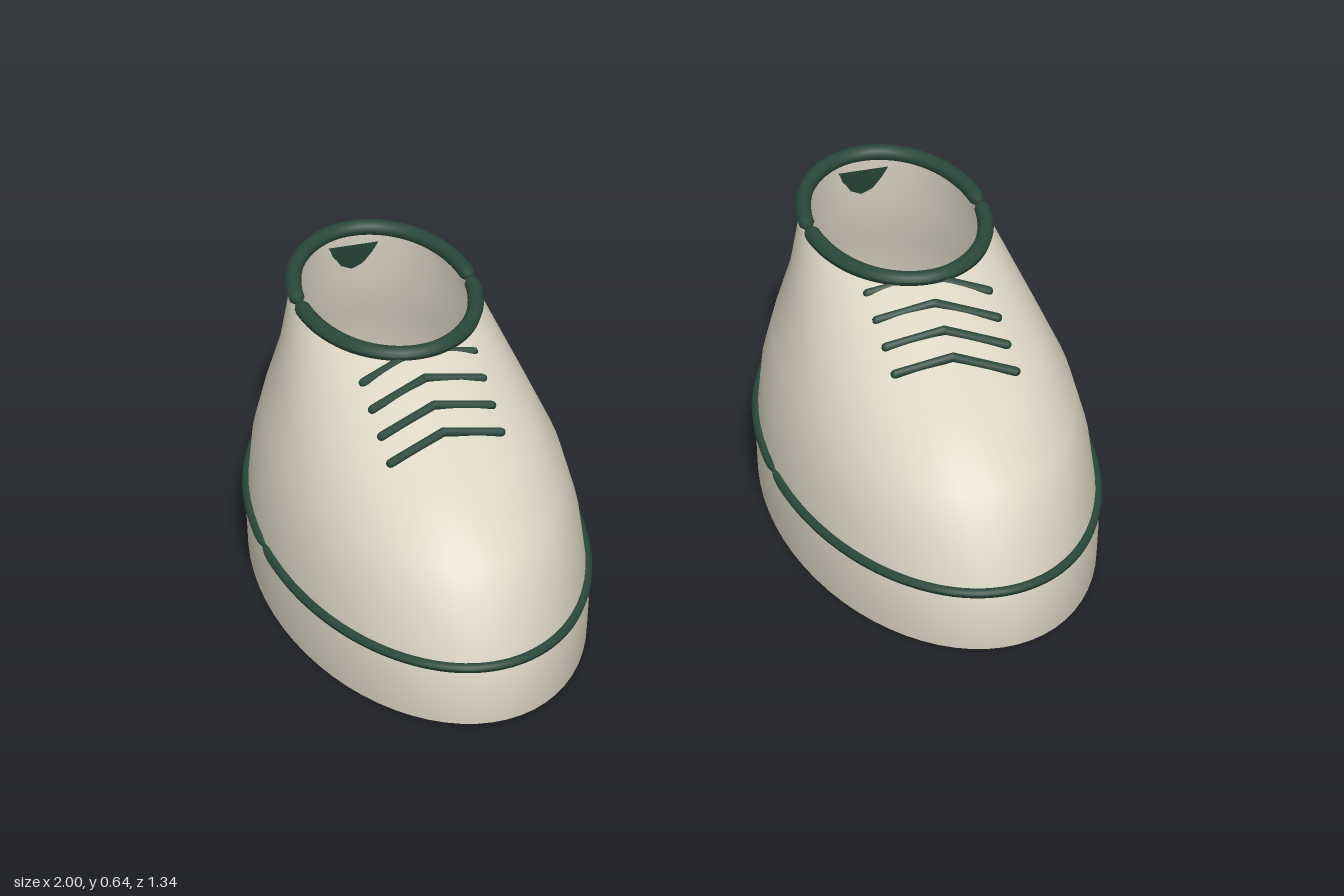
import * as THREE from 'three';

const canvas = new THREE.MeshStandardMaterial({ color: 0xdcd6c4, side: THREE.DoubleSide });
canvas.name = 'cream canvas';
const green = new THREE.MeshStandardMaterial({ color: 0x2a483b, side: THREE.DoubleSide });
green.name = 'dark green';

// Ellipse sections: height, half width, back z, front z
const SECTIONS = [
  [0, 0.368, -0.66, 0.66],
  [0.075, 0.372, -0.665, 0.667],
  [0.15, 0.368, -0.658, 0.652],
  [0.255, 0.358, -0.645, 0.616],
  [0.365, 0.33, -0.612, 0.552],
  [0.475, 0.28, -0.58, 0.38],
  [0.615, 0.213, -0.572, 0.0],
];

// Smooth skin through a grid of points
function gridSurface(rows, cols, pointAt) {
  const positions = [], index = [];
  for (let r = 0; r <= rows; r++) {
    for (let c = 0; c <= cols; c++) positions.push(...pointAt(r, c));
  }
  for (let r = 0; r < rows; r++) {
    for (let c = 0; c < cols; c++) {
      const a = r * (cols + 1) + c, b = a + cols + 1;
      index.push(a, b, a + 1, b, b + 1, a + 1);
    }
  }
  const geometry = new THREE.BufferGeometry();
  geometry.setAttribute('position', new THREE.Float32BufferAttribute(positions, 3));
  geometry.setIndex(index);
  geometry.computeVertexNormals();
  return geometry;
}

function shoeBody() {
  const n = 64;
  return gridSurface(SECTIONS.length - 1, n, (r, c) => {
    const [y, w, back, front] = SECTIONS[r];
    const a = -(c / n) * Math.PI * 2;
    return [Math.cos(a) * w, y, (front + back) / 2 + (Math.sin(a) * (front - back)) / 2];
  });
}

// Elliptical piping that pinches where its two halves meet at the sides
function piping(w, d, radius, pinchLength) {
  const n = 144, m = 10;
  return gridSurface(n, m, (r, c) => {
    const a = (r / n) * Math.PI * 2, b = (c / m) * Math.PI * 2;
    const gap = Math.abs(Math.sin(a)) * d;
    const t = radius * (0.45 + 0.55 * Math.min(1, gap / pinchLength));
    const normal = new THREE.Vector2(Math.cos(a) / w, Math.sin(a) / d).normalize();
    return [
      Math.cos(a) * w + normal.x * Math.cos(b) * t,
      Math.sin(b) * t,
      Math.sin(a) * d + normal.y * Math.cos(b) * t,
    ];
  });
}

function addMesh(parent, name, geometry, material, x = 0, y = 0, z = 0) {
  const mesh = new THREE.Mesh(geometry, material);
  mesh.name = name;
  mesh.position.set(x, y, z);
  parent.add(mesh);
  return mesh;
}

// Straight cord between two points
function addCord(parent, name, from, to, radius) {
  const dir = to.clone().sub(from);
  const cord = addMesh(parent, name, new THREE.CapsuleGeometry(radius, dir.length(), 3, 8), green);
  cord.position.copy(from).add(to).multiplyScalar(0.5);
  cord.quaternion.setFromUnitVectors(new THREE.Vector3(0, 1, 0), dir.normalize());
}

// side is +1 for the left shoe and -1 for the right shoe
function makeShoe(side) {
  const shoe = new THREE.Group();
  shoe.name = side > 0 ? 'leftShoe' : 'rightShoe';
  shoe.position.x = side * 0.618;

  addMesh(shoe, 'upper', shoeBody(), canvas);

  // Flat underside, also seen through the opening
  const sole = addMesh(shoe, 'sole', new THREE.CircleGeometry(1, 64), green);
  sole.rotation.x = Math.PI / 2;
  sole.scale.set(0.368, 0.66, 1);

  addMesh(shoe, 'solePiping', piping(0.37, 0.657, 0.012, 0.035), green, 0, 0.15, -0.003);
  addMesh(shoe, 'collar', piping(0.207, 0.285, 0.019, 0.025), green, 0, 0.62, -0.288);

  // Heel tab: straight across, so its top centre dips inside the upper
  const tabRows = [[0.2, 0.083, -0.663], [0.46, 0.068, -0.588], [0.58, 0.061, -0.562]];
  addMesh(shoe, 'heelTab', gridSurface(2, 1, (r, c) => {
    const [y, w, z] = tabRows[r];
    return [c ? -w : w, y, z];
  }), green);

  // Four bent laces, swept forward on the outer side
  const laces = new THREE.Group();
  laces.name = 'laces';
  for (let i = 0; i < 4; i++) {
    const z = -0.012 + i * 0.08, y = 0.618 - i * 0.026;
    const middle = new THREE.Vector3(0, y, z);
    addCord(laces, 'laceOuter', middle, new THREE.Vector3(side * 0.14, y - 0.037, z + 0.043), 0.011);
    addCord(laces, 'laceInner', middle, new THREE.Vector3(side * -0.14, y - 0.026, z - 0.004), 0.011);
  }
  shoe.add(laces);
  return shoe;
}

export function createModel() {
  const model = new THREE.Group();
  model.name = 'pairOfShoes';
  for (const side of [1, -1]) model.add(makeShoe(side));
  return model;
}
